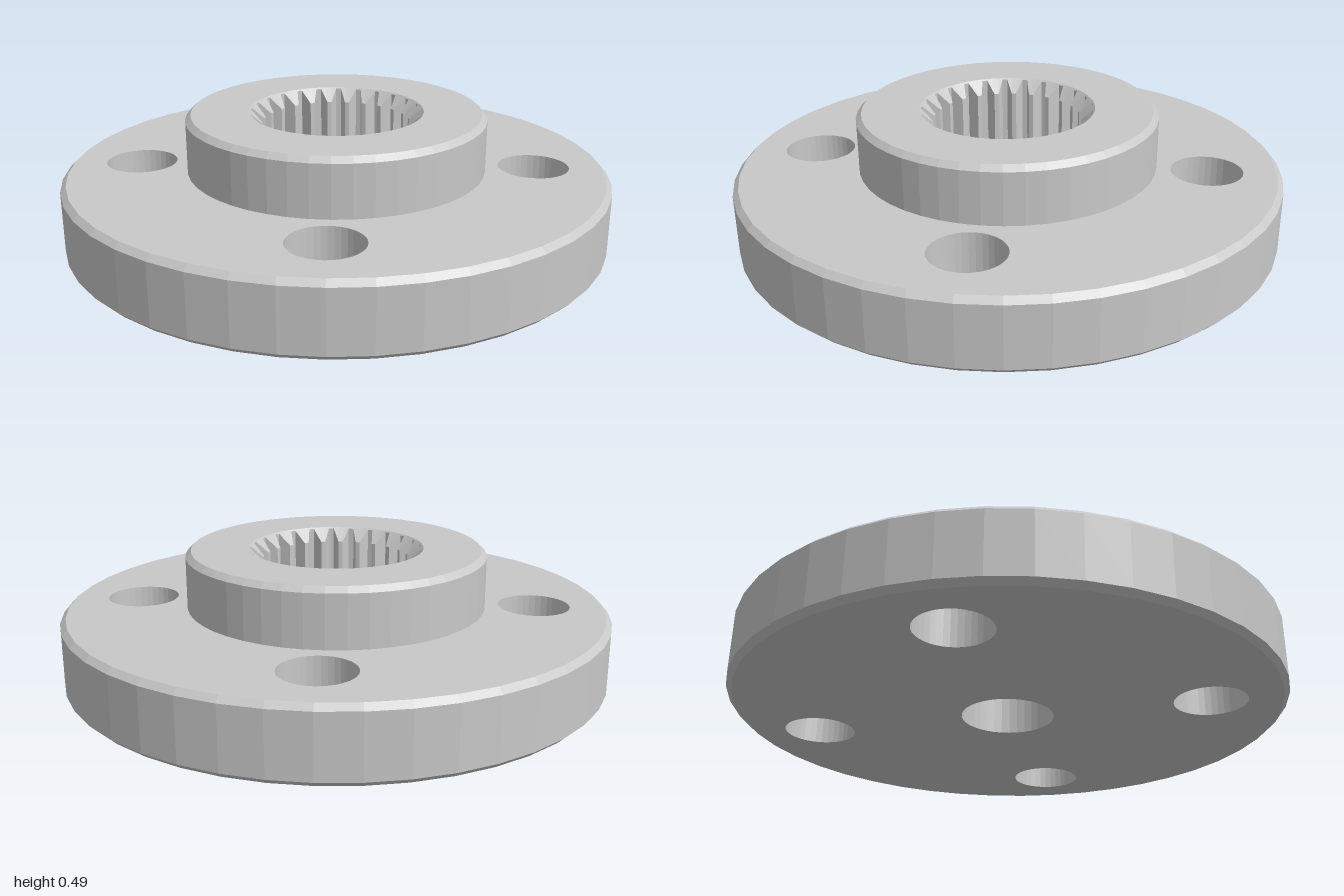
import * as THREE from 'three';

const V = (r, y) => new THREE.Vector2(r, y);

// Polygon points whose corners line up with lathe segments
function ring(radius, sides, cx = 0, cz = 0) {
  return Array.from({ length: sides }, (_, i) => {
    const a = (i / sides) * Math.PI * 2;
    return V(cx + Math.sin(a) * radius, -(cz + Math.cos(a) * radius));
  });
}

export function createModel() {
  const model = new THREE.Group();
  model.name = 'splinedFlange';
  const metal = new THREE.MeshStandardMaterial({ color: 0xc8c8c8 });
  metal.name = 'grey metal';
  metal.flatShading = true;

  const body = new THREE.Group();
  body.name = 'flangeBody';
  model.add(body);

  function add(name, geometry) {
    const mesh = new THREE.Mesh(geometry, metal);
    mesh.name = name;
    body.add(mesh);
    return mesh;
  }
  const lathe = (name, points, sides) => add(name, new THREE.LatheGeometry(points, sides));

  // Flat face with holes, facing up or down
  function plate(name, y, outline, holes, up) {
    const shape = new THREE.Shape(outline);
    holes.forEach(h => shape.holes.push(new THREE.Path(h)));
    const g = new THREE.ShapeGeometry(shape).rotateX(-Math.PI / 2);
    if (!up) g.index.array.reverse();
    add(name, g).position.y = y;
  }

  const diskTop = 0.26, hubTop = 0.47, seat = 0.16, bevel = 0.02;
  const diskSides = 44, hubSides = 48, holeSides = 36, teeth = 25;
  const boreR = 0.168, lipR = 0.32, rootR = 0.315, tipR = 0.272, boltR = 0.13;

  // Bolt hole centres, turned slightly off the axes
  const bolts = [0, 1, 2, 3].map(i => {
    const a = i * Math.PI / 2 + 0.014;
    return [Math.cos(a) * 0.73, Math.sin(a) * 0.73];
  });
  const boltRings = bolts.map(([x, z]) => ring(boltR, holeSides, x, z));

  // Disk
  lathe('diskRim', [V(1 - bevel, 0), V(1, bevel), V(1, diskTop - bevel), V(1 - bevel, diskTop)], diskSides);
  plate('diskTop', diskTop, ring(1 - bevel, diskSides), [ring(0.55, hubSides), ...boltRings], true);
  plate('diskBottom', 0, ring(1 - bevel, diskSides), [ring(boreR, holeSides), ...boltRings], false);
  bolts.forEach(([x, z]) => {
    lathe('boltHole', [V(boltR, diskTop), V(boltR, 0)], holeSides).position.set(x, 0, z);
  });

  // Hub
  lathe('hubWall', [V(0.55, diskTop), V(0.55, hubTop - bevel), V(0.55 - bevel, hubTop)], hubSides);
  plate('hubTop', hubTop, ring(0.55 - bevel, hubSides), [ring(lipR, teeth * 4)], true);

  // Through bore and the seat at the bottom of the socket
  lathe('centreBore', [V(boreR, seat), V(boreR, 0)], holeSides);
  plate('socketSeat', seat, ring(lipR, teeth * 4), [ring(boreR, holeSides)], true);

  // Toothed socket: a chamfered lip cut through by the tooth outline, facing the axis
  const n = teeth * 4, positions = [], index = [];
  const widths = [-0.12, 0.12, 0.38, 0.62];
  for (let i = 0; i <= n; i++) {
    const k = i % 4;
    const r = k < 2 ? tipR : rootR;
    const a = ((Math.floor(i / 4) + widths[k]) / teeth) * Math.PI * 2;
    const s = Math.sin(a), c = Math.cos(a);
    const edge = hubTop - (lipR - r);
    positions.push(s * lipR, hubTop, c * lipR, s * r, edge, c * r, s * r, seat, c * r);
    if (i < n) {
      for (let j = 0; j < 2; j++) {
        const p = i * 3 + j, q = p + 3;
        index.push(p, q, p + 1, q, q + 1, p + 1);
      }
    }
  }
  const socket = new THREE.BufferGeometry();
  socket.setAttribute('position', new THREE.Float32BufferAttribute(positions, 3));
  socket.setIndex(index);
  socket.computeVertexNormals();
  add('toothedSocket', socket);

  // The part leans very slightly toward the front
  body.rotation.x = 0.01;
  body.position.y = 0.01;
  return model;
}
